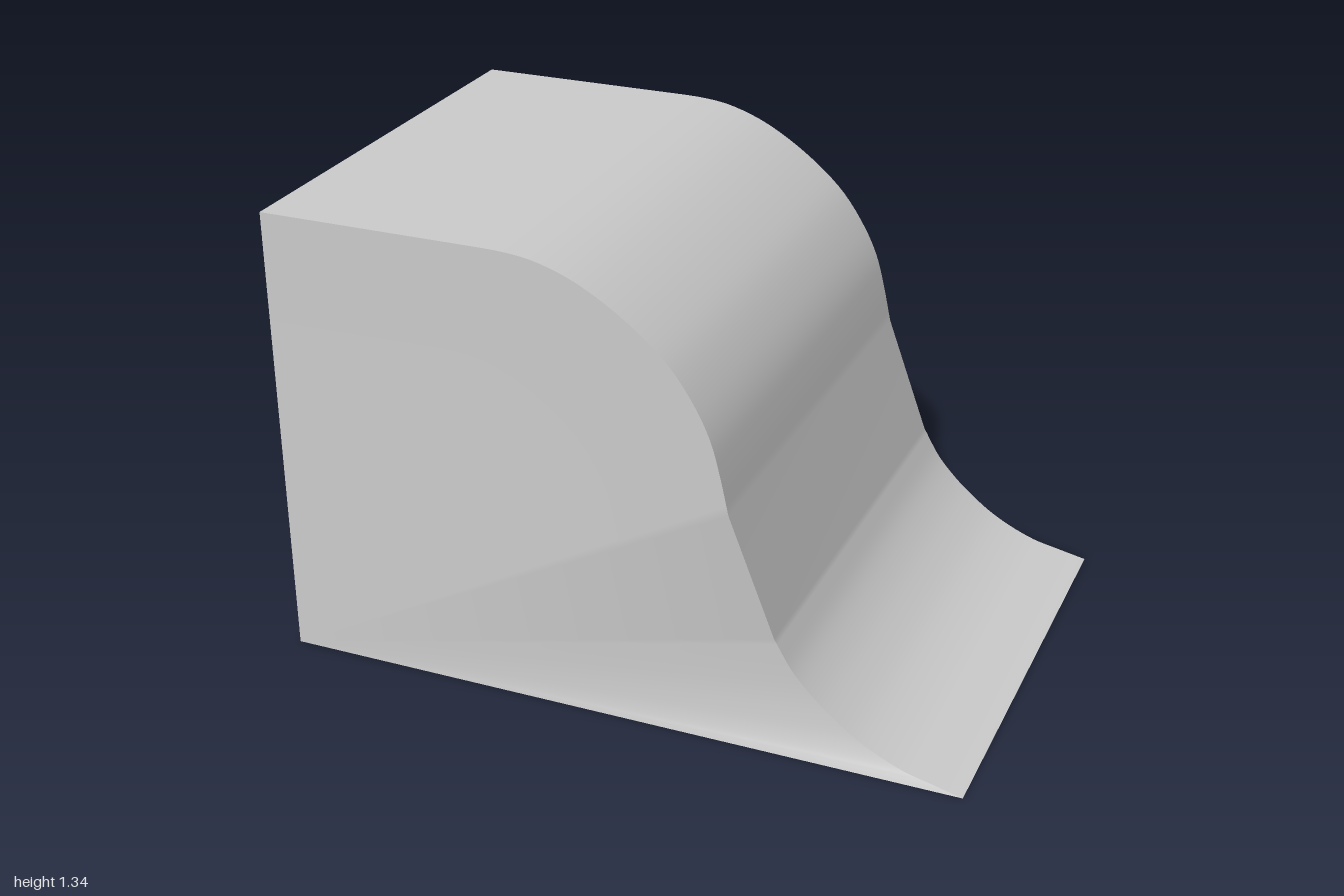
import * as THREE from 'three';

const FRONT = 0.695, BACK = -0.637, TOP = 1.337;

// Smooth run through [x, y, sideways shift] points
function run(points, steps) {
  const curve = new THREE.CatmullRomCurve3(points.map(p => new THREE.Vector3(...p)), false, 'centripetal');
  return curve.getPoints(steps);
}

// Outline from the top left, over the shoulder, down the slope to the toe
function outline() {
  const shoulder = run([
    [-0.35, TOP, 0], [-0.28, 1.335, 0], [-0.2, 1.325, 0], [-0.1, 1.293, 0], [0, 1.24, 0], [0.1, 1.168, 0],
    [0.18, 1.092, 0], [0.25, 0.99, 0], [0.29, 0.905, 0], [0.315, 0.815, 0], [0.34, 0.7, 0],
  ], 40);
  const toe = run([
    [0.45, 0.325, -0.053], [0.5, 0.235, -0.058], [0.55, 0.175, -0.06], [0.61, 0.121, -0.0585],
    [0.7, 0.061, -0.052], [0.82, 0.016, -0.037], [0.91, 0.006, -0.02], [1, 0, 0],
  ], 40);
  return [new THREE.Vector3(-1, TOP, 0), ...shoulder, ...toe];
}

function mesh(name, positions, index) {
  const g = new THREE.BufferGeometry();
  g.setAttribute('position', new THREE.Float32BufferAttribute(positions, 3));
  g.setIndex(index);
  g.computeVertexNormals();
  const m = new THREE.Mesh(g, new THREE.MeshStandardMaterial({ color: 0xcccccc, side: THREE.DoubleSide }));
  m.name = name;
  return m;
}

// Curved skin swept between the front and back edges
function skin(line) {
  const pos = [], idx = [];
  line.forEach((p, i) => {
    pos.push(p.x, p.y, FRONT + p.z, p.x, p.y, BACK + p.z);
    if (i) {
      const a = 2 * (i - 1);
      idx.push(a, a + 2, a + 1, a + 1, a + 2, a + 3);
    }
  });
  return mesh('curvedSlope', pos, idx);
}

// Side wall fanned from the lower left corner to the outline
function wall(name, line, z, front) {
  const pos = [-1, 0, z], idx = [];
  line.forEach((p, i) => {
    pos.push(p.x, p.y, z + p.z);
    if (i) idx.push(0, ...(front ? [i + 1, i] : [i, i + 1]));
  });
  return mesh(name, pos, idx);
}

export function createModel() {
  const group = new THREE.Group();
  group.name = 'curvedRamp';
  const line = outline();
  group.add(skin(line), wall('frontWall', line, FRONT, true), wall('backWall', line, BACK, false));

  // Flat underside and tall end
  group.add(mesh('underside',
    [-1, 0, FRONT, 1, 0, FRONT, 1, 0, BACK, -1, 0, BACK], [0, 2, 1, 0, 3, 2]));
  group.add(mesh('tallEnd',
    [-1, 0, FRONT, -1, TOP, FRONT, -1, TOP, BACK, -1, 0, BACK], [0, 1, 2, 0, 2, 3]));
  return group;
}
